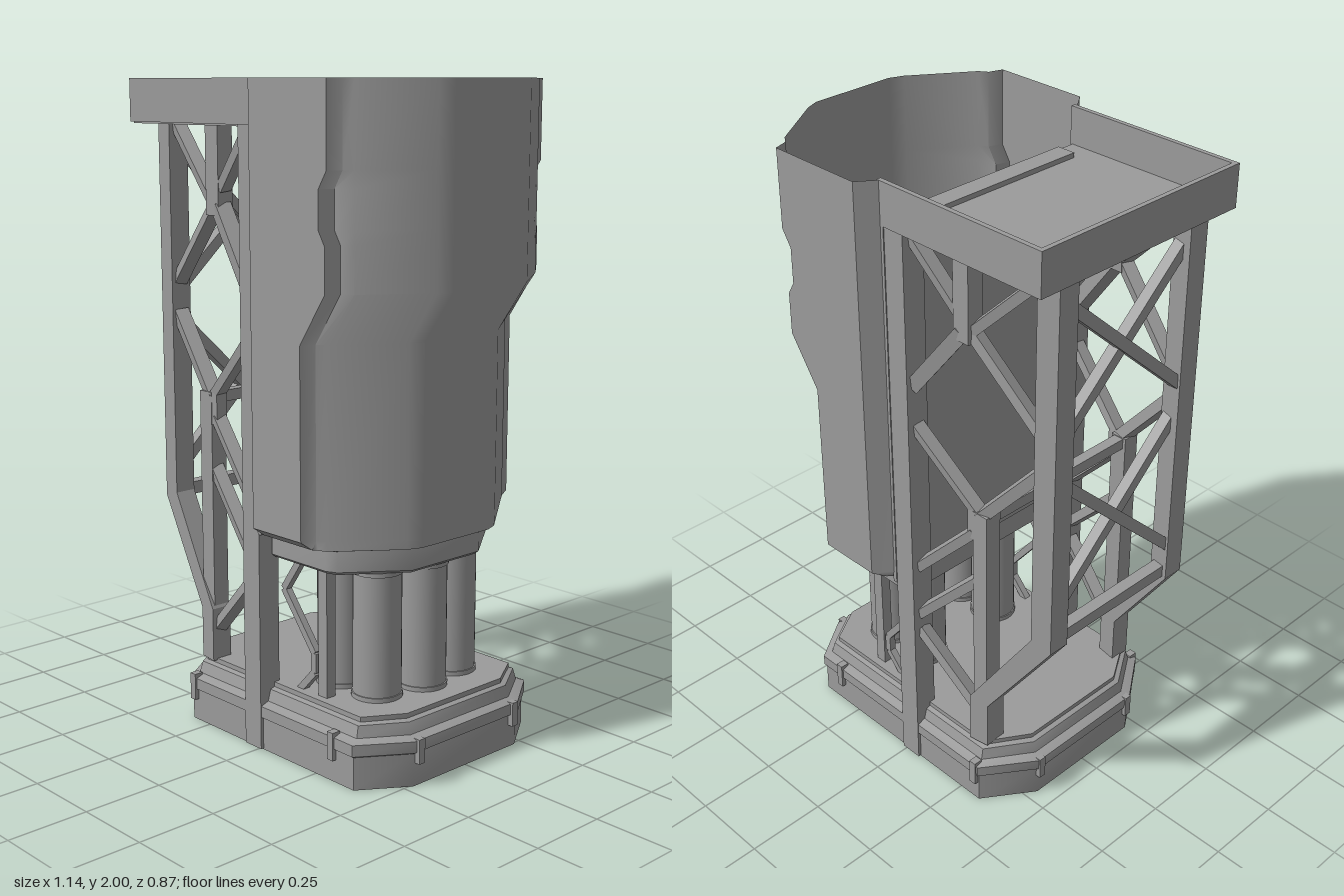
import * as THREE from 'three';
import { toCreasedNormals } from 'three/addons/utils/BufferGeometryUtils.js';

const grey = new THREE.MeshStandardMaterial({ color: 0x9b9b9b });
const greyThin = new THREE.MeshStandardMaterial({ color: 0x9b9b9b, side: THREE.DoubleSide });

// Mirrors a half outline of [x, z] points (z > 0) into a full run of points
const mirrored = half => [...half.map(([x, z]) => [x, -z]), ...half.slice().reverse()];

// Stacks [y, outline] levels into a skin; a closed skin also gets end caps
function stack(levels, closed) {
  const pos = [];
  const put = (y, p) => pos.push(p[0], y, -p[1]);
  const n = levels[0][1].length;
  for (let k = 0; k + 1 < levels.length; k++) {
    const [y0, a] = levels[k], [y1, b] = levels[k + 1];
    for (let i = 0; i < (closed ? n : n - 1); i++) {
      const j = (i + 1) % n;
      put(y0, a[i]); put(y0, a[j]); put(y1, b[j]);
      put(y0, a[i]); put(y1, b[j]); put(y1, b[i]);
    }
  }
  const cap = ([y, o], up) => {
    for (const f of THREE.ShapeUtils.triangulateShape(o.map(p => new THREE.Vector2(...p)), []))
      for (const i of up ? f : f.slice().reverse()) put(y, o[i]);
  };
  if (closed) {
    cap(levels[0], false);
    cap(levels[levels.length - 1], true);
  }
  const g = new THREE.BufferGeometry();
  g.setAttribute('position', new THREE.Float32BufferAttribute(pos, 3));
  return toCreasedNormals(g, 0.7);
}

// Levels out the shading of near-upright faces so the bulge reads as one soft surface
function softenUpright(g) {
  const nor = g.attributes.normal, v = new THREE.Vector3();
  for (let i = 0; i < nor.count; i++) {
    v.fromBufferAttribute(nor, i);
    if (Math.abs(v.y) < 0.6) v.setY(0).normalize();
    nor.setXYZ(i, v.x, v.y, v.z);
  }
  return g;
}

export function createModel() {
  const model = new THREE.Group();
  const add = (name, geo, mat = grey) => {
    const m = new THREE.Mesh(geo, mat);
    m.name = name;
    model.add(m);
    return m;
  };
  // Box given by its limits
  const box = (name, x0, x1, y0, y1, z0, z1) =>
    add(name, new THREE.BoxGeometry(x1 - x0, y1 - y0, z1 - z0))
      .position.set((x0 + x1) / 2, (y0 + y1) / 2, (z0 + z1) / 2);
  // Square bar between two points
  const bar = (name, a, b, w, d = w) => {
    const p = new THREE.Vector3(...a), q = new THREE.Vector3(...b);
    const dir = q.clone().sub(p);
    const m = add(name, new THREE.BoxGeometry(w, dir.length(), d));
    m.position.copy(p).add(q).multiplyScalar(0.5);
    m.quaternion.setFromUnitVectors(new THREE.Vector3(0, 1, 0), dir.normalize());
  };

  // Base: stepped eight-sided plinth, hollow underneath
  const plinth = d => mirrored([
    [-0.437 - d, 0.21 + d * 0.4], [-0.33 - d * 0.4, 0.365 + d],
    [0.41 + d * 0.4, 0.365 + d], [0.508 + d, 0.22 + d * 0.4]]);
  add('base', stack([[0.14, plinth(-0.035)], [0, plinth(-0.025)], [0, plinth(0)], [0.1, plinth(0)],
    [0.105, plinth(0.008)], [0.14, plinth(0.008)], [0.15, plinth(-0.02)], [0.185, plinth(-0.03)],
    [0.19, plinth(-0.045)], [0.205, plinth(-0.045)]], true));

  // Shell: open-topped hull that bulges outward, with a raised panel on each side
  const hull = (edge, corner, nose) => mirrored([
    [0.02, 0.38], [0.06, 0.435], [edge, 0.435], [edge + 0.015, 0.39],
    [corner, 0.372], [nose - 0.018, 0.185], [nose, 0.14]]);
  const lower = hull(0.268, 0.305, 0.46), upper = hull(0.37, 0.42, 0.566), notch = hull(0.346, 0.42, 0.566);
  add('shell', softenUpright(stack([
    [0.675, mirrored([[0.02, 0.33], [0.03, 0.335], [0.25, 0.335], [0.26, 0.33], [0.29, 0.315],
      [0.405, 0.165], [0.42, 0.135]])],
    [0.687, mirrored([[0.02, 0.35], [0.05, 0.385], [0.26, 0.385], [0.275, 0.375], [0.3, 0.365],
      [0.44, 0.185], [0.457, 0.14]])],
    [0.72, lower], [1.28, lower], [1.43, upper], [1.56, upper],
    [1.6, notch], [1.71, notch], [1.76, hull(0.378, 0.42, 0.566)], [2, hull(0.378, 0.42, 0.566)]], false)), greyThin);
  box('shellBackWall', 0.012, 0.026, 0.68, 1.88, -0.378, 0.378);

  // Collar closing the shell bottom
  const collar = d => mirrored([
    [0.02, 0.33 + d], [0.255 + d * 0.4, 0.33 + d], [0.29 + d * 0.7, 0.315 + d * 0.7], [0.42 + d, 0.14 + d * 0.4]]);
  add('collar', stack([[0.602, collar(-0.012)], [0.612, collar(0)], [0.684, collar(0)]], true));
  for (const z of [-0.25, 0.25]) box('shellFloorBlock', 0.08, 0.21, 0.68, 0.71, z - 0.02, z + 0.02);

  // Pipes between base and collar, with end rings
  for (const [x, z] of [[0.325, 0], [0.295, 0.16], [0.295, -0.16], [0.14, 0.16], [0.14, -0.16]]) {
    add('pipe', new THREE.CylinderGeometry(0.073, 0.073, 0.41, 32)).position.set(x, 0.405, z);
    for (const y of [0.212, 0.594])
      add('pipeRing', new THREE.CylinderGeometry(0.077, 0.077, 0.014, 32)).position.set(x, y, z);
  }

  // Tray on top of the tower, open toward the shell
  box('trayFloor', -0.562, 0.02, 1.865, 1.885, -0.372, 0.372);
  box('trayEndWall', -0.57, -0.555, 1.87, 2, -0.38, 0.38);
  box('trayFloorRib', -0.545, -0.48, 1.88, 1.9, -0.215, 0.215);
  box('trayFloorRib', -0.052, 0.01, 1.88, 1.9, -0.295, 0.295);

  // Tower: side trusses lean inward toward the outer legs
  const frontZ = x => 0.26 + 0.08 * (x + 0.515) / 0.495;
  const struts = [ // x0, y0, x1, y1, width, depth
    [-0.49, 1.87, -0.25, 1.63, 0.03, 0.04], [-0.25, 1.63, -0.49, 1.38, 0.03, 0.04],
    [-0.235, 1.87, -0.235, 1.6, 0.058, 0.055], [-0.225, 1.625, -0.05, 1.395, 0.045, 0.05],
    [-0.21, 1.68, -0.05, 1.86, 0.028, 0.04], [-0.49, 1.28, -0.28, 1.04, 0.035, 0.045],
    [-0.28, 1.04, -0.05, 1.26, 0.028, 0.04], [-0.258, 1.06, -0.258, 0.96, 0.03, 0.04],
    [-0.26, 0.98, -0.05, 0.76, 0.03, 0.04], [-0.28, 0.82, -0.05, 0.58, 0.03, 0.04],
    [-0.05, 0.52, -0.28, 0.3, 0.03, 0.04], [-0.295, 1.06, -0.295, 0.3, 0.055, 0.055]];
  const legShape = new THREE.Shape([
    [-0.55, 1.87], [-0.55, 0.68], [-0.328, 0.36], [-0.328, 0.2], [-0.262, 0.2],
    [-0.262, 0.37], [-0.482, 0.7], [-0.482, 1.87]].map(p => new THREE.Vector2(...p)));
  const zigzag = [[0.1, 0.6], [0.03, 0.5], [0.165, 0.33], [0.165, 0.27], [0.1, 0.2]];
  for (const s of [1, -1]) {
    const at = ([x, y]) => [x, y, s * frontZ(x)];
    const zs = (a, b) => (s > 0 ? [a, b] : [-b, -a]);
    box('trayWall', -0.57, 0.028, 1.87, 2, ...zs(0.365, 0.38));
    box('trayBlock', -0.525, -0.448, 1.88, 1.915, ...zs(0.228, 0.27));
    box('mainColumn', -0.06, 0.013, 0.003, 1.87, ...zs(0.3, 0.375));

    // Bent outer leg, sheared to follow the lean of the truss
    const leg = new THREE.ExtrudeGeometry(legShape, { depth: 0.07, bevelEnabled: false });
    const p = leg.attributes.position;
    for (let i = 0; i < p.count; i++) p.setZ(i, p.getZ(i) - 0.035 + s * frontZ(p.getX(i)));
    leg.computeVertexNormals();
    add('outerLeg', leg);

    for (const [x0, y0, x1, y1, w, d] of struts) bar('trussStrut', at([x0, y0]), at([x1, y1]), w, d);
    // Small bracing beside the pipes
    for (let i = 0; i < 4; i++)
      bar('lowerBrace', [...zigzag[i], s * 0.285], [...zigzag[i + 1], s * 0.285], 0.022);
    box('lowerPost', 0.185, 0.222, 0.2, 0.61, ...zs(0.26, 0.295));
    // Clips around the plinth
    for (const x of [-0.315, 0.325]) box('baseClip', x - 0.012, x + 0.012, 0.07, 0.155, ...zs(0.35, 0.379));
    box('baseClip', 0.49, 0.525, 0.07, 0.145, ...zs(0.19, 0.214));
    box('baseClip', -0.45, -0.42, 0.07, 0.145, ...zs(0.19, 0.214));
    // Crossed braces between the two outer legs
    for (const [top, low] of [[1.8, 1.35], [1.25, 0.78]])
      bar('endBrace', [-0.515 + s * 0.008, top, s * 0.25], [-0.515 + s * 0.008, low, -s * 0.25], 0.035);
  }
  // Cross beams joining the two trusses
  bar('endBeam', [-0.515, 0.7, -0.25], [-0.515, 0.7, 0.25], 0.04);
  bar('endBeam', [-0.295, 1.04, -0.28], [-0.295, 1.04, 0.28], 0.035);

  return model;
}
